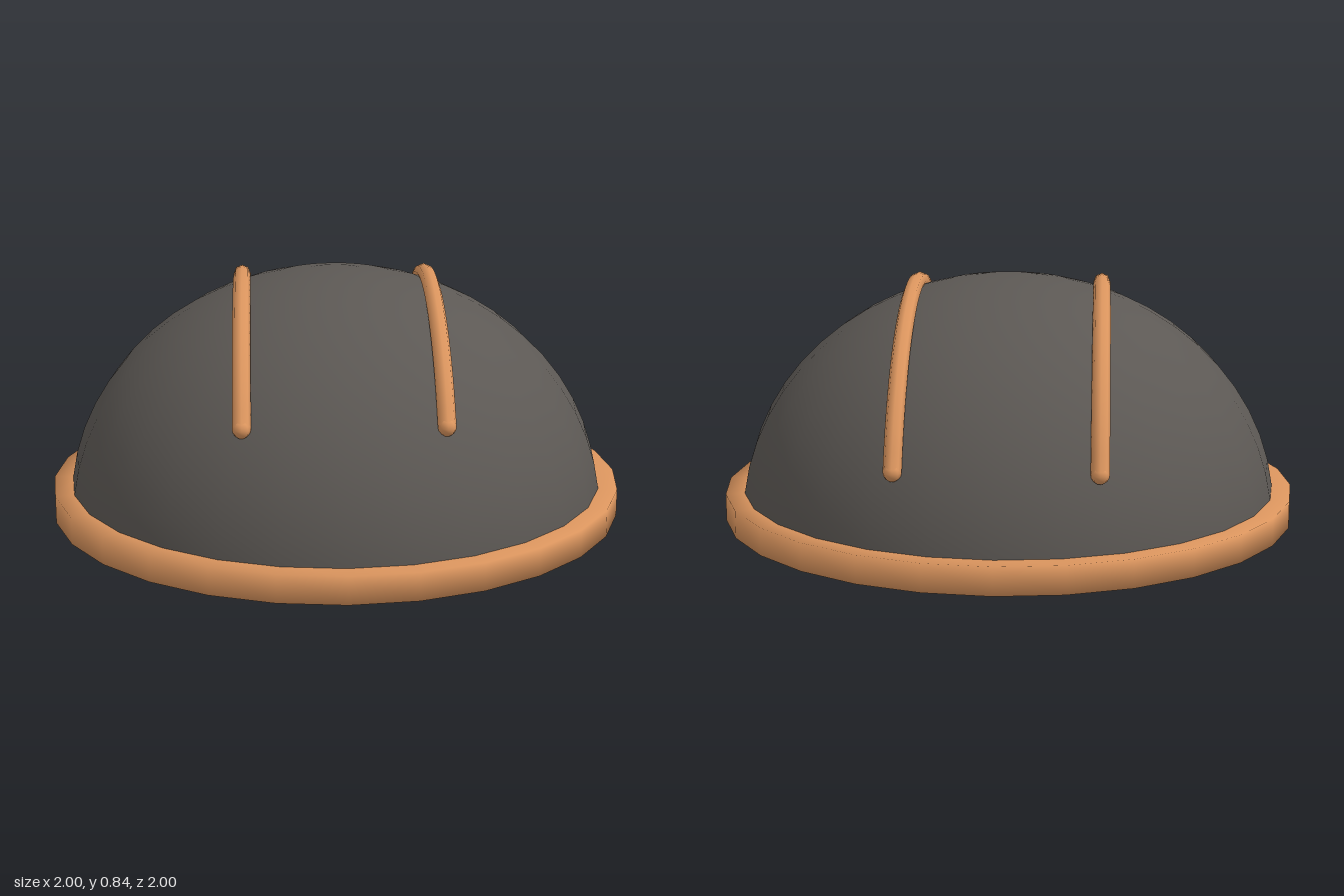
import * as THREE from 'three';

const SIDES = 28;
const dark = new THREE.MeshStandardMaterial({ color: 0x5c5854, side: THREE.DoubleSide });
const copper = new THREE.MeshStandardMaterial({ color: 0xdb955e });

function addMesh(parent, name, geometry, material) {
  const mesh = new THREE.Mesh(geometry, material);
  mesh.name = name;
  parent.add(mesh);
  return mesh;
}

// Slightly flattened half sphere, open underneath
function makeDome(radius, height) {
  const dome = new THREE.SphereGeometry(radius, SIDES, 14, 0, Math.PI * 2, 0, Math.PI / 2);
  dome.scale(1, height / radius, 1);
  return dome;
}

// Curved bar with rounded ends, following the dome from front to back
function makeRib(x) {
  const rib = new THREE.Group();
  const radius = 0.03;
  const front = THREE.MathUtils.degToRad(53.3);
  const back = THREE.MathUtils.degToRad(-65.3);
  const points = [];
  for (let i = 0; i <= 16; i++) {
    const a = THREE.MathUtils.lerp(front, back, i / 16);
    points.push(new THREE.Vector3(x, 0.806 * Math.cos(a), 0.89 * Math.sin(a)));
  }
  const path = new THREE.CatmullRomCurve3(points);
  addMesh(rib, 'ribBar', new THREE.TubeGeometry(path, 32, radius, 8), copper);
  for (const end of [points[0], points[16]]) {
    addMesh(rib, 'ribEnd', new THREE.SphereGeometry(radius, 8, 8), copper).position.copy(end);
  }
  return rib;
}

export function createModel() {
  const model = new THREE.Group();
  model.name = 'domedCover';

  // Outer shell and inner lining
  addMesh(model, 'dome', makeDome(0.94, 0.84), dark);
  addMesh(model, 'lining', makeDome(0.92, 0.815), dark);

  // Rim band around the shell, closed on the inside by the lining
  const section = [[0.918, 0], [1, 0], [1, 0.095], [0.918, 0.095]];
  const rim = new THREE.LatheGeometry(section.map(([r, y]) => new THREE.Vector2(r, y)), SIDES);
  addMesh(model, 'rim', rim, copper);

  // Pair of ribs over the top
  for (const side of [-1, 1]) {
    const rib = makeRib(side * 0.325);
    rib.name = side > 0 ? 'leftRib' : 'rightRib';
    model.add(rib);
  }
  return model;
}
